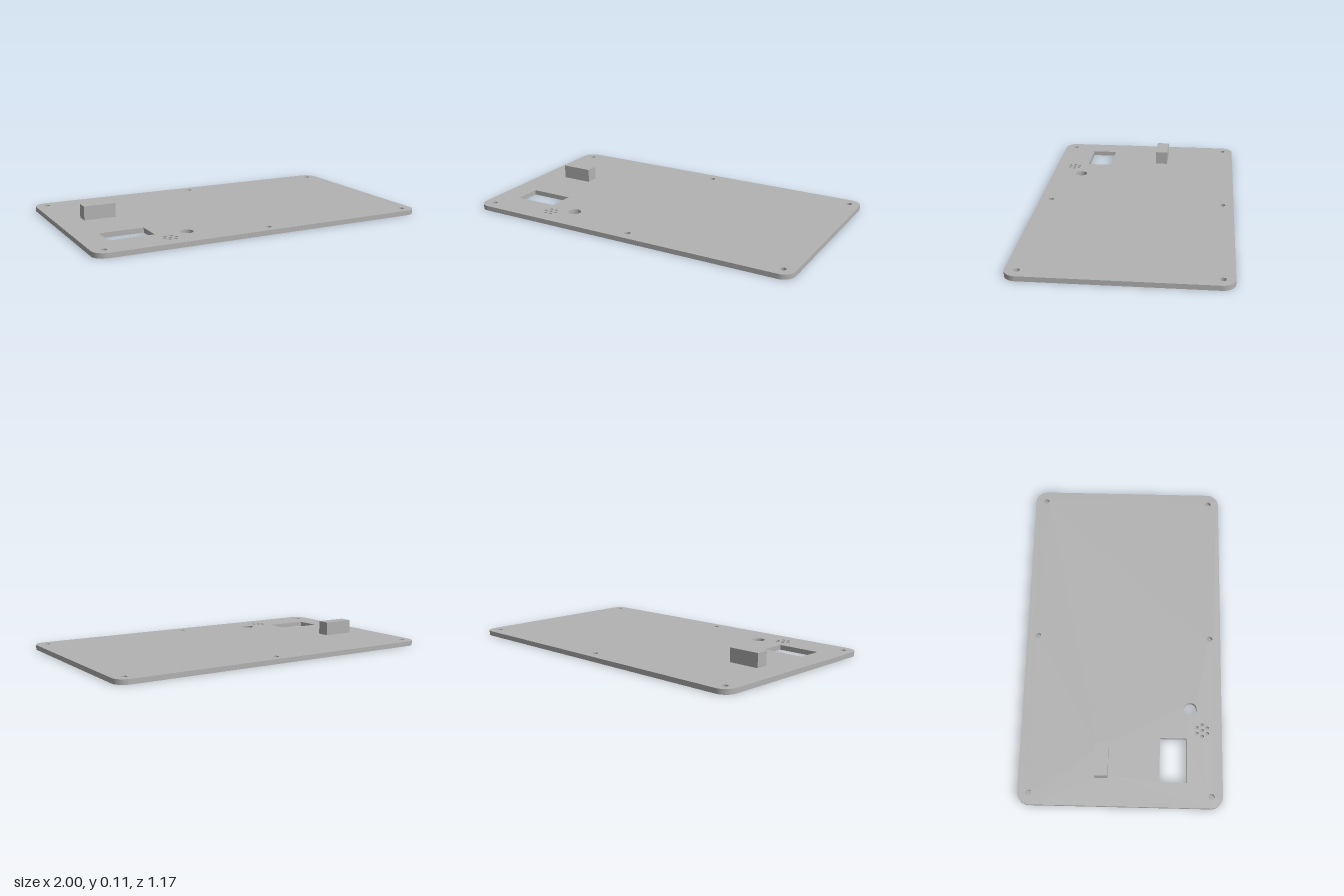
import * as THREE from 'three';

const THICK = 0.028, TOP = 0.109, LID = 0.015;

// Outlines are drawn in plan: shape x = x, shape y = -z.
function trace(path, x, z, w, d, r = 0) {
  const y = -z, a = w / 2, b = d / 2;
  path.moveTo(x - a + r, y - b);
  path.lineTo(x + a - r, y - b);
  if (r) path.absarc(x + a - r, y - b + r, r, -Math.PI / 2, 0, false);
  path.lineTo(x + a, y + b - r);
  if (r) path.absarc(x + a - r, y + b - r, r, 0, Math.PI / 2, false);
  path.lineTo(x - a + r, y + b);
  if (r) path.absarc(x - a + r, y + b - r, r, Math.PI / 2, Math.PI, false);
  path.lineTo(x - a, y - b + r);
  if (r) path.absarc(x - a + r, y - b + r, r, Math.PI, Math.PI * 1.5, false);
  return path;
}
const rectHole = (x, z, w, d) => trace(new THREE.Path(), x, z, w, d);
const roundHole = (x, z, r) => new THREE.Path().absarc(x, -z, r, 0, Math.PI * 2, true);

// Extrudes a plan outline upward from y0 to y1.
function slab(name, shape, y0, y1, material) {
  const geo = new THREE.ExtrudeGeometry(shape, { depth: y1 - y0, bevelEnabled: false, curveSegments: 24 });
  geo.rotateX(-Math.PI / 2).translate(0, y0, 0);
  const mesh = new THREE.Mesh(geo, material);
  mesh.name = name;
  return mesh;
}

export function createModel() {
  const group = new THREE.Group();
  group.name = 'coverPanel';
  const grey = new THREE.MeshStandardMaterial({ color: 0xb2b2b2 });
  grey.name = 'plain grey';

  // Hollow housing, open at the underside
  const hx = -0.7485, hz = -0.1095, hw = 0.187, hd = 0.075;
  const pocket = () => rectHole(hx, hz, 0.149, 0.05);

  // Panel with rounded corners
  const plate = trace(new THREE.Shape(), 0, 0, 2, 1.166, 0.07);
  // Screw holes along front and back
  for (const z of [-0.518, 0.518])
    for (const x of [-0.934, 0.014, 0.934]) plate.holes.push(roundHole(x, z, 0.017));
  // Display window, button hole and housing slot
  plate.holes.push(rectHole(-0.73, 0.3, 0.256, 0.153), roundHole(-0.425, 0.4, 0.037), pocket());
  // Speaker grille: one hole ringed by six
  plate.holes.push(roundHole(-0.553, 0.467, 0.011));
  for (let i = 0; i < 6; i++) {
    const a = i * Math.PI / 3;
    plate.holes.push(roundHole(-0.553 + 0.034 * Math.cos(a), 0.467 + 0.034 * Math.sin(a), 0.011));
  }
  group.add(slab('panel', plate, 0, THICK, grey));

  // Housing walls and lid
  const walls = trace(new THREE.Shape(), hx, hz, hw, hd);
  walls.holes.push(pocket());
  group.add(slab('housingWalls', walls, THICK, TOP - LID, grey));
  group.add(slab('housingLid', trace(new THREE.Shape(), hx, hz, hw, hd), TOP - LID, TOP, grey));

  return group;
}
